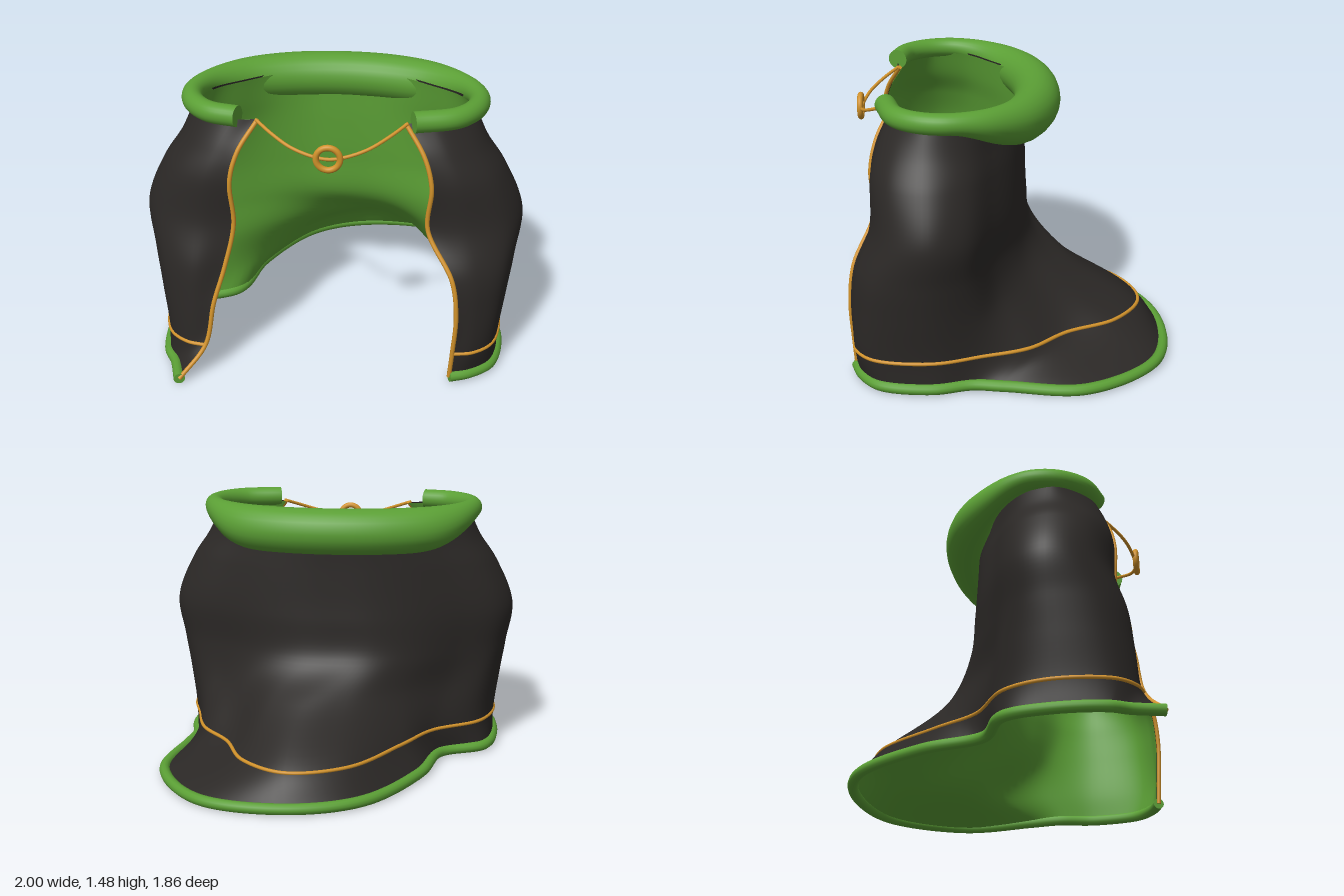
import * as THREE from 'three';

const mat = (color) => new THREE.MeshStandardMaterial({ color });
const open = (color) => new THREE.MeshStandardMaterial({ color, side: THREE.DoubleSide });
const GREEN = 0x5b9f35;
const roll = mat(GREEN), lining = open(GREEN), cloth = open(0x2b2826), gold = mat(0xd0912a);

// Front of a cross-section on one side: open edge, panel, rounded side
const frontHalf = (edge, width, panelZ) => [
  [edge, 0.58 + 0.81 * (edge - 0.38)],
  [edge + 0.4 * (width - edge), panelZ],
  [edge + 0.82 * (width - edge), panelZ - 0.1],
  [width, 0.38],
];

// Symmetric back of the body, right to left
const bodyBack = (width, depth) => [-0.92, -0.69, -0.45, -0.22, 0, 0.22, 0.45, 0.69, 0.92].map((s, i) =>
  [s * width, [-depth, -0.93 * depth, -0.5 * depth, 0.05, 0.19][Math.abs(i - 4)]]);

// Whole cross-section from the right front edge round the back to the left one
function section(y, rightEdge, leftEdge, width, panelZ, back) {
  const right = frontHalf(rightEdge, width, panelZ).map(([x, z]) => [-x, z]);
  const left = frontHalf(leftEdge, width, panelZ).reverse();
  return new THREE.CatmullRomCurve3([...right, ...back, ...left].map(([x, z]) => new THREE.Vector3(x, y, z)));
}

// Trailing train, swept off to the left
const hemBack = [[-.85, .14], [-.6, 0], [-.49, -.34], [-.2, -.76], [.18, -.9], [.65, -.82], [.93, -.42], [.89, 0], [.87, .17]];
const lowBack = [[-.82, .14], [-.55, -.05], [-.39, -.3], [-.12, -.67], [.2, -.78], [.45, -.62], [.59, -.34], [.76, -.13], [.84, .12]];
const midBack = [[-.84, .15], [-.61, .03], [-.35, -.16], [-.08, -.33], [.15, -.4], [.34, -.32], [.51, -.15], [.68, .01], [.85, .15]];

const sections = [
  section(0.03, 0.79, 0.64, 0.91, 0.75, hemBack),
  section(0.18, 0.66, 0.65, 0.91, 0.78, lowBack),
  section(0.42, 0.61, 0.66, 0.94, 0.77, midBack),
  section(0.62, 0.55, 0.63, 0.97, 0.75, bodyBack(0.97, 0.17)),
  section(0.85, 0.5, 0.5, 1, 0.685, bodyBack(1, 0.14)),
  section(1.1, 0.51, 0.51, 0.9, 0.67, bodyBack(0.9, 0.13)),
  section(1.25, 0.47, 0.47, 0.8, 0.635, bodyBack(0.8, 0.13)),
  section(1.4, 0.37, 0.37, 0.73, 0.585, bodyBack(0.73, 0.13)),
];

const COLS = 112, ROWS = 56;

// Columns of points running up the cloak through every section
const cloakGrid = () => Array.from({ length: COLS + 1 }, (_, i) =>
  new THREE.CatmullRomCurve3(sections.map((s) => s.getPoint(i / COLS))).getPoints(ROWS));

// Skin over the grid, pushed out along its normals by lift
function skin(grid, outward, lift) {
  const index = [];
  for (let i = 0; i < COLS; i++) {
    for (let j = 0; j < ROWS; j++) {
      const a = i * (ROWS + 1) + j, b = a + ROWS + 1, c = b + 1, d = a + 1;
      if (outward) index.push(a, d, b, b, d, c);
      else index.push(a, b, d, b, c, d);
    }
  }
  const geo = new THREE.BufferGeometry().setFromPoints(grid.flat());
  geo.setIndex(index);
  geo.computeVertexNormals();
  const { position, normal } = geo.attributes;
  const p = new THREE.Vector3(), n = new THREE.Vector3();
  for (let i = 0; i < position.count; i++) {
    p.fromBufferAttribute(position, i).addScaledVector(n.fromBufferAttribute(normal, i), lift);
    position.setXYZ(i, p.x, p.y, p.z);
  }
  return geo;
}

// Flat disc closing one end of a tube
function endCap(name, curve, t, center, radius, material) {
  const cap = new THREE.Mesh(new THREE.CircleGeometry(radius, 24), material);
  cap.name = name;
  cap.position.copy(center);
  cap.lookAt(center.clone().addScaledVector(curve.getTangentAt(t), t ? 1 : -1));
  return cap;
}

// Capped tube along a path
function cord(name, points, radius, material, segments = 120) {
  const group = new THREE.Group();
  group.name = name;
  const curve = new THREE.CatmullRomCurve3(points);
  const tube = new THREE.Mesh(new THREE.TubeGeometry(curve, segments, radius, 12), material);
  tube.name = name + 'Tube';
  group.add(tube);
  for (const t of [0, 1]) group.add(endCap(name + 'End', curve, t, curve.getPointAt(t), radius, material));
  return group;
}

// Rolled collar: thin at the front ends, thick and drooping at the back
function collar() {
  const group = new THREE.Group();
  group.name = 'collar';
  const TOP = 1.475, N = 120, SIDES = 24, THIN = 0.055;
  const half = [[.62, .54], [.715, .43], [.747, .3], [.72, .17], [.65, .05], [.5, -.08], [.27, -.17]];
  const path = [[-.47, .59], ...half.map(([x, z]) => [-x, z]), [0, -.2], ...half.reverse(), [.41, .605]];
  const curve = new THREE.CatmullRomCurve3(path.map(([x, z]) => new THREE.Vector3(x, 0, z)));
  const geo = new THREE.TubeGeometry(curve, N, 1, SIDES);
  const pos = geo.attributes.position, v = new THREE.Vector3();
  for (let i = 0; i <= N; i++) {
    const p = curve.getPointAt(i / N);
    const wide = THIN + 0.07 * THREE.MathUtils.smoothstep(-p.z, -0.1, 0.2);
    const tall = THIN + 0.07 * THREE.MathUtils.smoothstep(-p.z, -0.28, 0.14);
    for (let k = 0; k <= SIDES; k++) {
      const n = i * (SIDES + 1) + k;
      v.fromBufferAttribute(pos, n).sub(p);
      pos.setXYZ(n, p.x + v.x * wide, TOP - tall + v.y * tall, p.z + v.z * wide);
    }
  }
  const ring = new THREE.Mesh(geo, roll);
  ring.name = 'collarRoll';
  group.add(ring);
  for (const t of [0, 1]) {
    const center = curve.getPointAt(t).setY(TOP - THIN);
    group.add(endCap('collarEnd', curve, t, center, THIN, roll));
  }
  return group;
}

export function createModel() {
  const model = new THREE.Group();
  model.name = 'cloak';
  const grid = cloakGrid();

  // Dark outer cloth and green lining just inside it
  const outer = new THREE.Mesh(skin(grid, true, 0), cloth);
  outer.name = 'outerCloth';
  const inner = new THREE.Mesh(skin(grid, false, 0.014), lining);
  inner.name = 'innerLining';
  model.add(outer, inner, collar());

  // Hem, decorative line above it and trim along the front edges
  const lineRow = ROWS / (sections.length - 1);
  model.add(
    cord('hem', grid.map((c) => c[0]), 0.03, roll, 200),
    cord('hemStitch', grid.map((c) => c[lineRow]), 0.01, gold, 200),
    cord('rightEdgeTrim', grid[0], 0.012, gold),
    cord('leftEdgeTrim', grid[COLS], 0.012, gold),
  );

  // Clasp cord hanging between the edges, with a ring in the middle
  const half = [[.38, 1.4, .58], [.29, 1.36, .66], [.19, 1.32, .725], [.08, 1.29, .757]];
  const points = [
    ...half.map(([x, y, z]) => new THREE.Vector3(-x, y, z)),
    new THREE.Vector3(0, 1.28, 0.765),
    ...half.reverse().map(([x, y, z]) => new THREE.Vector3(x, y, z)),
  ];
  model.add(cord('claspCord', points, 0.009, gold, 60));
  const ring = new THREE.Mesh(new THREE.TorusGeometry(0.06, 0.016, 14, 40), gold);
  ring.name = 'claspRing';
  ring.position.set(-0.003, 1.285, 0.77);
  model.add(ring);

  return model;
}
